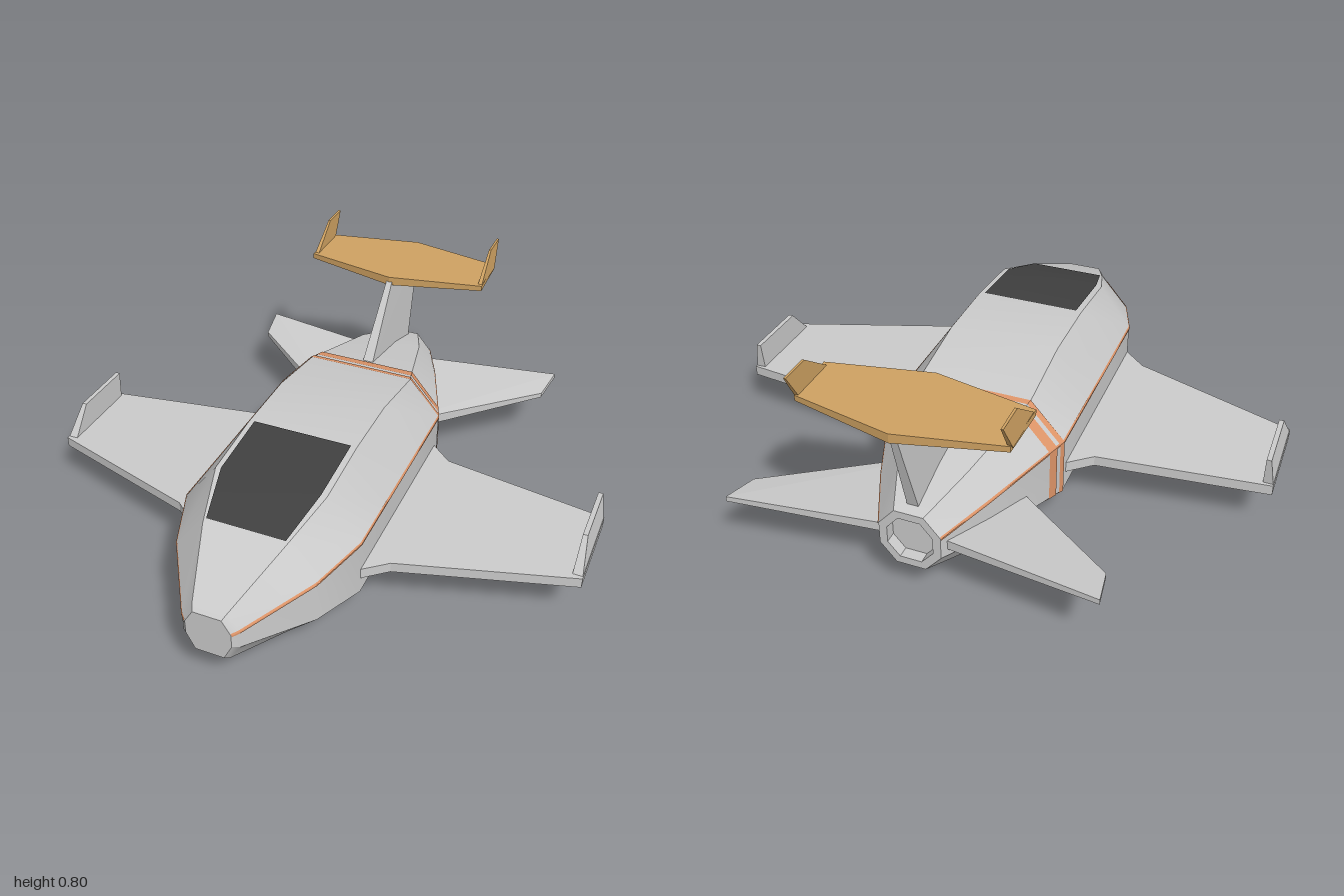
import * as THREE from 'three';
import { ConvexGeometry } from 'three/addons/geometries/ConvexGeometry.js';

const grey = new THREE.MeshStandardMaterial({ color: 0xcccccc });
const tan = new THREE.MeshStandardMaterial({ color: 0xcfa262 });
const orange = new THREE.MeshStandardMaterial({ color: 0xdd9468, side: THREE.DoubleSide });
const dark = new THREE.MeshStandardMaterial({ color: 0x404040, side: THREE.DoubleSide });

// Hull stations, back to front: z, half width, deck half width, then y of bottom, lower chine, upper chine, deck
const STATIONS = [
  [-0.84, 0.105, 0.05, 0.13, 0.195, 0.275, 0.34],
  [-0.65, 0.19, 0.12, 0.07, 0.16, 0.3, 0.4],
  [-0.31, 0.32, 0.2, 0.025, 0.12, 0.33, 0.465],
  [-0.04, 0.32, 0.2, 0.005, 0.12, 0.33, 0.51],
  [0.22, 0.32, 0.2, 0.008, 0.12, 0.33, 0.51],
  [0.47, 0.32, 0.2, 0.02, 0.12, 0.33, 0.485],
  [0.67, 0.25, 0.145, 0.05, 0.145, 0.3, 0.42],
  [0.91, 0.1, 0.06, 0.125, 0.19, 0.257, 0.315],
  [0.93, 0.08, 0.05, 0.14, 0.2, 0.25, 0.3],
];

// Eight-sided hull section at any z, counter-clockwise seen from the front
function section(z, grow = 0) {
  let i = 0;
  while (i < STATIONS.length - 2 && z > STATIONS[i + 1][0]) i++;
  const a = STATIONS[i], b = STATIONS[i + 1];
  const t = (z - a[0]) / (b[0] - a[0]);
  let [, w, d, y0, y1, y2, y3] = a.map((v, k) => v + (b[k] - v) * t);
  w += grow; d += grow * 0.4; y0 -= grow; y3 += grow;
  return [[d, y0], [w, y1], [w, y2], [d, y3], [-d, y3], [-w, y2], [-w, y1], [-d, y0]]
    .map(([x, y]) => new THREE.Vector3(x, y, z));
}

// Skin over rings of points; each lengthwise strip is smooth, its edges sharp
function loft(rings, closed = true) {
  const pos = [], index = [], n = rings[0].length;
  for (let j = 0; j < (closed ? n : n - 1); j++) {
    rings.forEach((ring, i) => {
      const k = pos.length / 3;
      pos.push(...ring[j].toArray(), ...ring[(j + 1) % n].toArray());
      if (i < rings.length - 1) index.push(k, k + 1, k + 3, k, k + 3, k + 2);
    });
  }
  const g = new THREE.BufferGeometry();
  g.setAttribute('position', new THREE.Float32BufferAttribute(pos, 3));
  g.setIndex(index);
  g.computeVertexNormals();
  return g;
}

// Scale a ring about its middle and shift it along z
function inset(ring, s, dz = 0) {
  const c = ring.reduce((m, p) => m.add(p), new THREE.Vector3()).divideScalar(ring.length);
  return ring.map(p => p.clone().sub(c).multiplyScalar(s).add(c).add(new THREE.Vector3(0, 0, dz)));
}

export function createModel() {
  const model = new THREE.Group();
  const add = (name, geometry, material = grey) => {
    const mesh = new THREE.Mesh(geometry, material);
    mesh.name = name;
    model.add(mesh);
  };
  const hull = (name, pts, side = 1, material = grey) =>
    add(name, new ConvexGeometry(pts.map(([x, y, z]) => new THREE.Vector3(x * side, y, z))), material);
  // Plan corners [x, z, low y, high y] to a list of slab points
  const slab = plan => plan.flatMap(([x, z, lo, hi]) => [[x, lo, z], [x, hi, z]]);

  // Fuselage, nose cap and hollow exhaust
  add('fuselage', loft(STATIONS.map(s => section(s[0]))));
  const nose = section(0.93), tail = section(-0.84);
  add('noseCap', loft([nose, inset(nose, 0)]));
  add('exhaustRim', loft([inset(tail, 0.74), tail]));
  add('exhaustWall', loft([inset(tail, 0.74, 0.04), inset(tail, 0.74)]));
  add('exhaustBack', loft([inset(tail, 0, 0.04), inset(tail, 0.74, 0.04)]));

  // Windshield lying on the forward deck
  const glass = [[0.22, 0.18], [0.47, 0.18], [0.655, 0.14]].map(([z, w]) => {
    const y = section(z)[3].y + 0.004;
    return [new THREE.Vector3(w, y, z), new THREE.Vector3(-w, y, z)];
  });
  add('windshield', loft(glass, false), dark);

  // Bands around the rear body
  for (const [z0, z1] of [[-0.38, -0.345], [-0.33, -0.31]]) {
    add('bodyBand', loft([section(z0, 0.003), section(z1, 0.003)]), orange);
  }

  for (const side of [1, -1]) {
    // Thin line folded over the upper chine
    const line = STATIONS.map(s => {
      const r = section(s[0], 0.003);
      const below = r[2].clone().lerp(r[1], 0.006 / r[2].distanceTo(r[1]));
      const above = r[2].clone().lerp(r[3], 0.007 / r[2].distanceTo(r[3]));
      const pts = [below, r[2], above].map(p => p.setX(p.x * side));
      return side > 0 ? pts : pts.reverse();
    });
    add('sideLine', loft(line, false), orange);

    // Main wing with flared root and upright tip
    hull('wingRoot', slab([[0.25, 0.53, 0.18, 0.22], [0.4, 0.4, 0.178, 0.216],
      [0.4, -0.21, 0.178, 0.216], [0.25, -0.34, 0.18, 0.22]]), side);
    hull('wing', slab([[0.4, 0.4, 0.178, 0.216], [1, 0.21, 0.165, 0.203],
      [1, -0.13, 0.165, 0.203], [0.4, -0.21, 0.178, 0.216]]), side);
    hull('wingTip', [[0.963, 0.19, 0.21], [1, 0.19, 0.21], [0.963, 0.19, -0.12], [1, 0.19, -0.12],
      [0.965, 0.305, 0.11], [0.982, 0.305, 0.11], [0.965, 0.305, -0.13], [0.982, 0.305, -0.13]], side);

    // Rear stabiliser, rising towards the back
    hull('stabiliser', slab([[0.08, -0.35, 0.155, 0.195], [0.25, -0.48, 0.17, 0.205],
      [0.61, -0.76, 0.218, 0.237], [0.63, -0.89, 0.238, 0.257], [0.08, -0.81, 0.215, 0.25]]), side);

    // Upright ends of the tail plane
    hull('tailPlaneTip', [[0.33, 0.7, -0.67], [0.346, 0.7, -0.67], [0.33, 0.7, -0.85], [0.346, 0.7, -0.85],
      [0.331, 0.8, -0.8], [0.339, 0.8, -0.8], [0.331, 0.8, -0.907], [0.339, 0.8, -0.907]], side, tan);
  }

  // Tail fin, thinner at the top
  hull('tailFin', [1, -1].flatMap(s => [[0.02 * s, 0.44, -0.385], [0.02 * s, 0.33, -0.42],
    [0.02 * s, 0.33, -0.8], [0.011 * s, 0.695, -0.605], [0.011 * s, 0.695, -0.91]]));

  // Tail plane
  hull('tailPlane', slab([[0, -0.6, 0.677, 0.71], [0.348, -0.67, 0.69, 0.71], [0.342, -0.86, 0.69, 0.71],
    [0, -0.93, 0.677, 0.71], [-0.342, -0.86, 0.69, 0.71], [-0.348, -0.67, 0.69, 0.71]]), 1, tan);

  return model;
}
